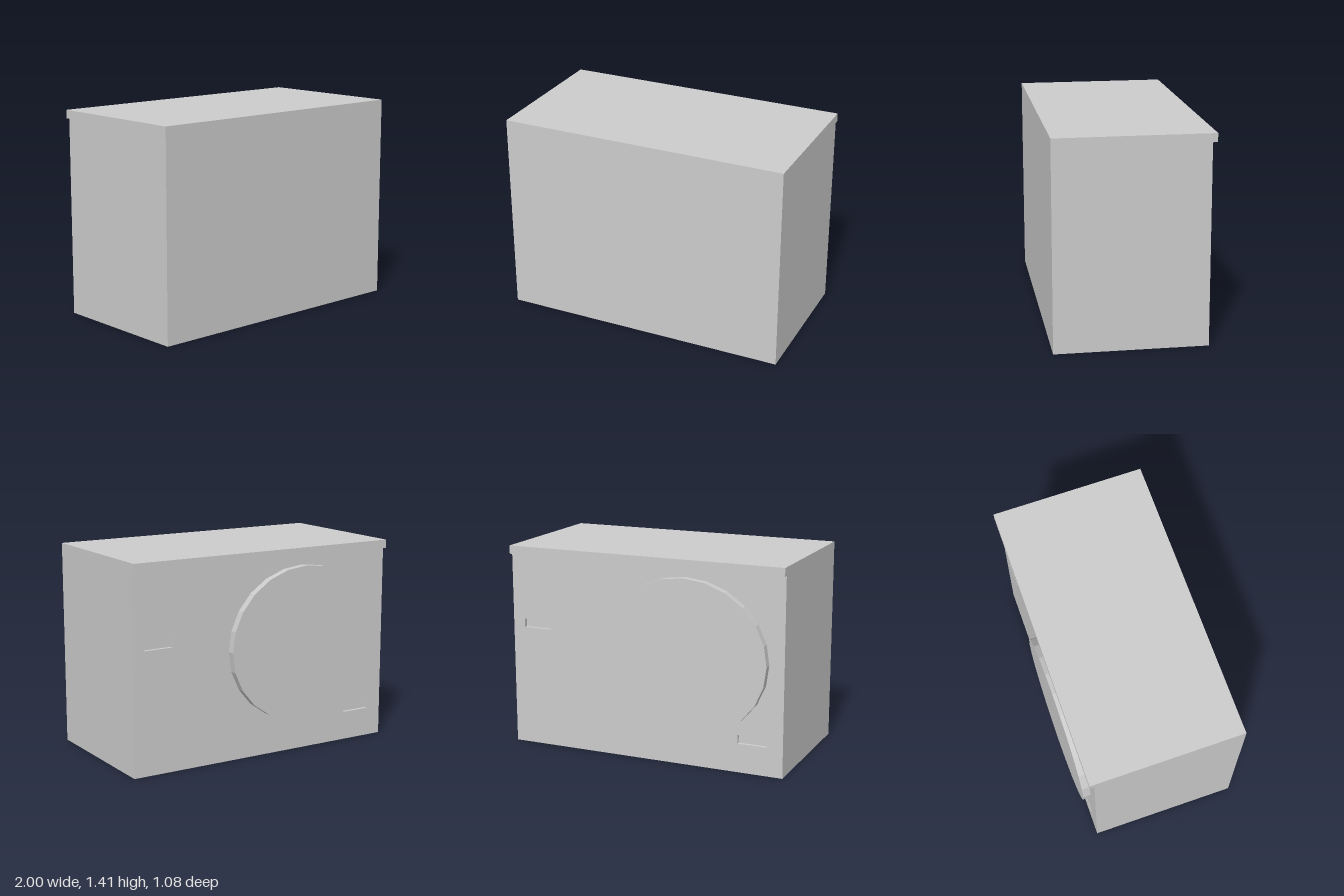
import * as THREE from 'three';

const W = 2, H = 1.415, LIP_Y = 1.357;
const FRONT = 0.538, BACK = -0.484, FLOOR = -0.46, LIP_Z = -0.516, DISC_Z = -0.537;

export function createModel() {
  const group = new THREE.Group();
  const mat = new THREE.MeshStandardMaterial({ color: 0xcccccc, flatShading: true });
  const add = (name, geo) => {
    const mesh = new THREE.Mesh(geo, mat);
    mesh.name = name;
    group.add(mesh);
  };
  // full-width box spanning the given y and z ranges
  const slab = (y0, y1, z0, z1) =>
    new THREE.BoxGeometry(W, y1 - y0, z1 - z0).translate(0, (y0 + y1) / 2, (z0 + z1) / 2);
  const rect = (path, x0, x1, y0, y1) =>
    path.moveTo(x0, y0).lineTo(x1, y0).lineTo(x1, y1).lineTo(x0, y1).closePath();

  // main cabinet, and the lip overhanging the back along the top
  add('body', slab(0, H, FLOOR, FRONT));
  add('topLip', slab(LIP_Y, H, LIP_Z, FLOOR));

  // back panel with two shallow slots
  const panel = rect(new THREE.Shape(), -W / 2, W / 2, 0, LIP_Y);
  for (const [x, y] of [[0.81, 0.87], [-0.785, 0.23]]) {
    panel.holes.push(rect(new THREE.Path(), x - 0.103, x + 0.103, y - 0.03, y + 0.03));
  }
  add('backPanel', new THREE.ExtrudeGeometry(panel, { depth: FLOOR - BACK, bevelEnabled: false })
    .translate(0, 0, BACK));

  // raised oval disc on the back
  add('backDisc', new THREE.CylinderGeometry(1, 1, BACK - DISC_Z, 24)
    .rotateX(Math.PI / 2)
    .scale(0.588, 0.538, 1)
    .translate(-0.307, 0.757, (BACK + DISC_Z) / 2));

  return group;
}
